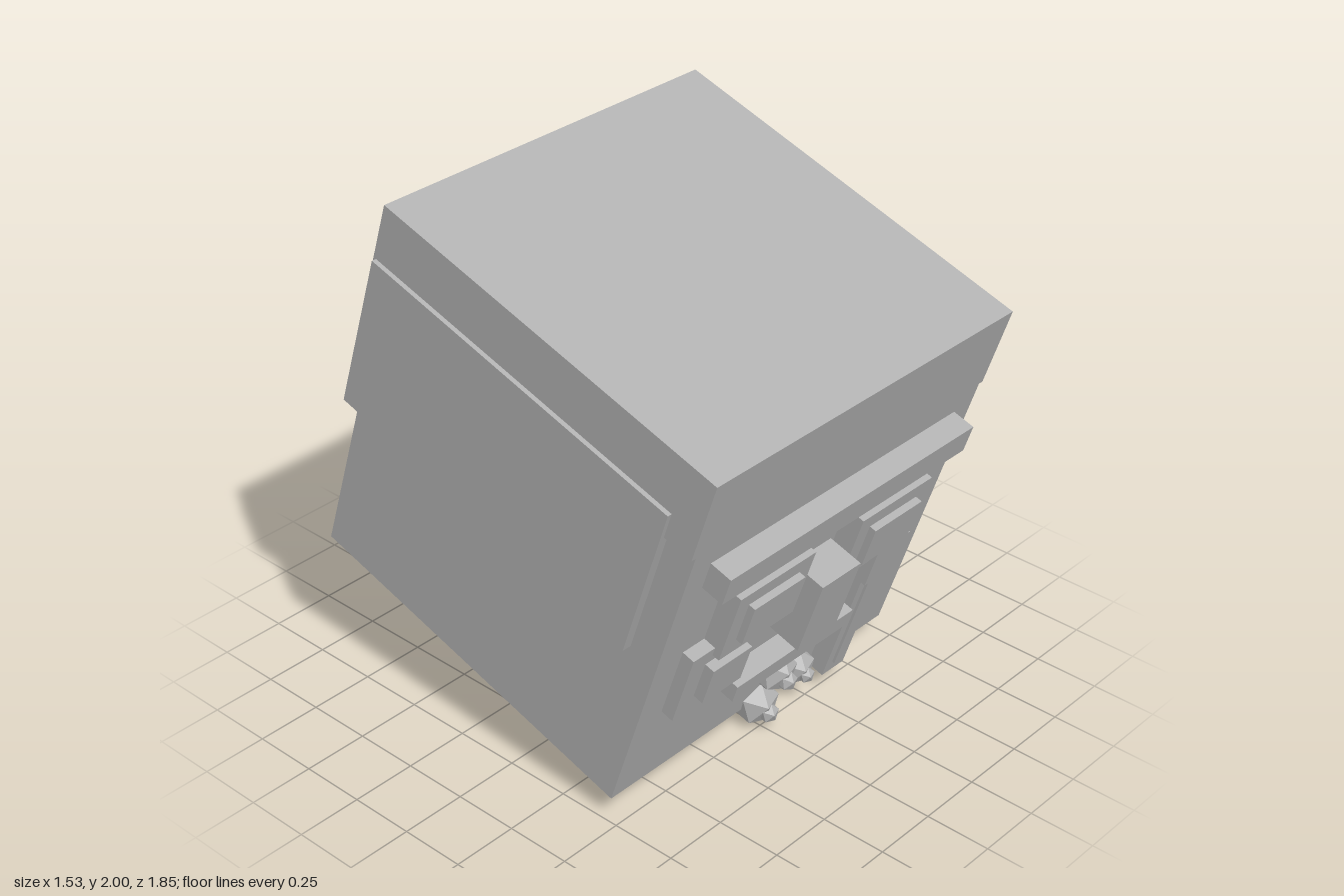
import * as THREE from 'three';

export function createModel() {
  const model = new THREE.Group();
  model.name = 'tiltedBlockHead';
  const grey = new THREE.MeshStandardMaterial({ color: 0xb0b0b0, flatShading: true });
  grey.name = 'plain grey';

  // The whole head nods forward; parts are placed in its own upright frame
  const head = new THREE.Group();
  head.name = 'head';
  head.rotation.x = Math.PI / 10;
  model.add(head);

  // Box given by its limits along x, y and z
  function block(name, x0, x1, y0, y1, z0, z1) {
    const mesh = new THREE.Mesh(new THREE.BoxGeometry(x1 - x0, y1 - y0, z1 - z0), grey);
    mesh.name = name;
    mesh.position.set((x0 + x1) / 2, (y0 + y1) / 2, (z0 + z1) / 2);
    head.add(mesh);
  }
  const face = 0.41; // front plane of the head
  const inset = face - 0.02;

  // Skull, flush-fronted cap and side pieces
  block('skull', -0.73, 0.73, 0.224, 1.425, -1.042, face);
  block('cap', -0.75, 0.75, 1.425, 1.75, -1.092, face);
  block('rightCornerPatch', -0.768, -0.39, 0.9, 1.53, -1.08, 0.29);
  block('leftSidePlate', 0.7, 0.765, 0.742, 1.187, -0.541, 0.16);

  // Brow, nose and mouth
  block('brow', -0.63, 0.63, 1.23, 1.343, inset, 0.498);
  block('nose', -0.1, 0.1, 0.705, 1.023, inset, 0.548);
  block('mouth', -0.31, 0.31, 0.526, 0.6, inset, 0.493);

  // Mirrored eyes with raised pupils
  for (const [side, s] of [['left', 1], ['right', -1]]) {
    const c = 0.312 * s;
    block(side + 'Eye', c - 0.188, c + 0.188, 0.865, 1.16, inset, 0.488);
    block(side + 'Pupil', c - 0.127, c + 0.127, 0.93, 1.1, inset, 0.515);
  }

  // Cheek patch on one side, hanging strip on the other
  block('cheekPatch', -0.605, -0.255, 0.6, 0.9, inset, 0.46);
  block('cheekPatchCentre', -0.525, -0.333, 0.675, 0.835, inset, 0.5);
  block('stripKnob', 0.285, 0.46, 0.76, 0.932, inset, 0.51);
  block('hangingStrip', 0.312, 0.432, 0.229, 0.765, inset, 0.48);
  block('stripRidge', 0.349, 0.397, 0.28, 0.765, inset, 0.49);

  // Faceted blossoms on the chin: x, y, radius, turn
  const blossoms = [
    [0.013, 0.228, 0.09, 0.5],
    [0.055, 0.375, 0.09, 0.3],
    [0.208, 0.293, 0.075, 0.55],
    [0.112, 0.51, 0.06, 0.2],
  ];
  for (const [x, y, r, turn] of blossoms) {
    const blossom = new THREE.Group();
    blossom.name = 'blossom';
    blossom.position.set(x, y, face);
    blossom.rotation.z = turn;
    const petals = new THREE.Mesh(new THREE.IcosahedronGeometry(r, 0), grey);
    petals.name = 'blossomPetals';
    const centre = new THREE.Mesh(new THREE.IcosahedronGeometry(r * 0.45, 0), grey);
    centre.name = 'blossomCentre';
    centre.position.z = r * 0.75;
    blossom.add(petals, centre);
    head.add(blossom);
  }
  return model;
}
